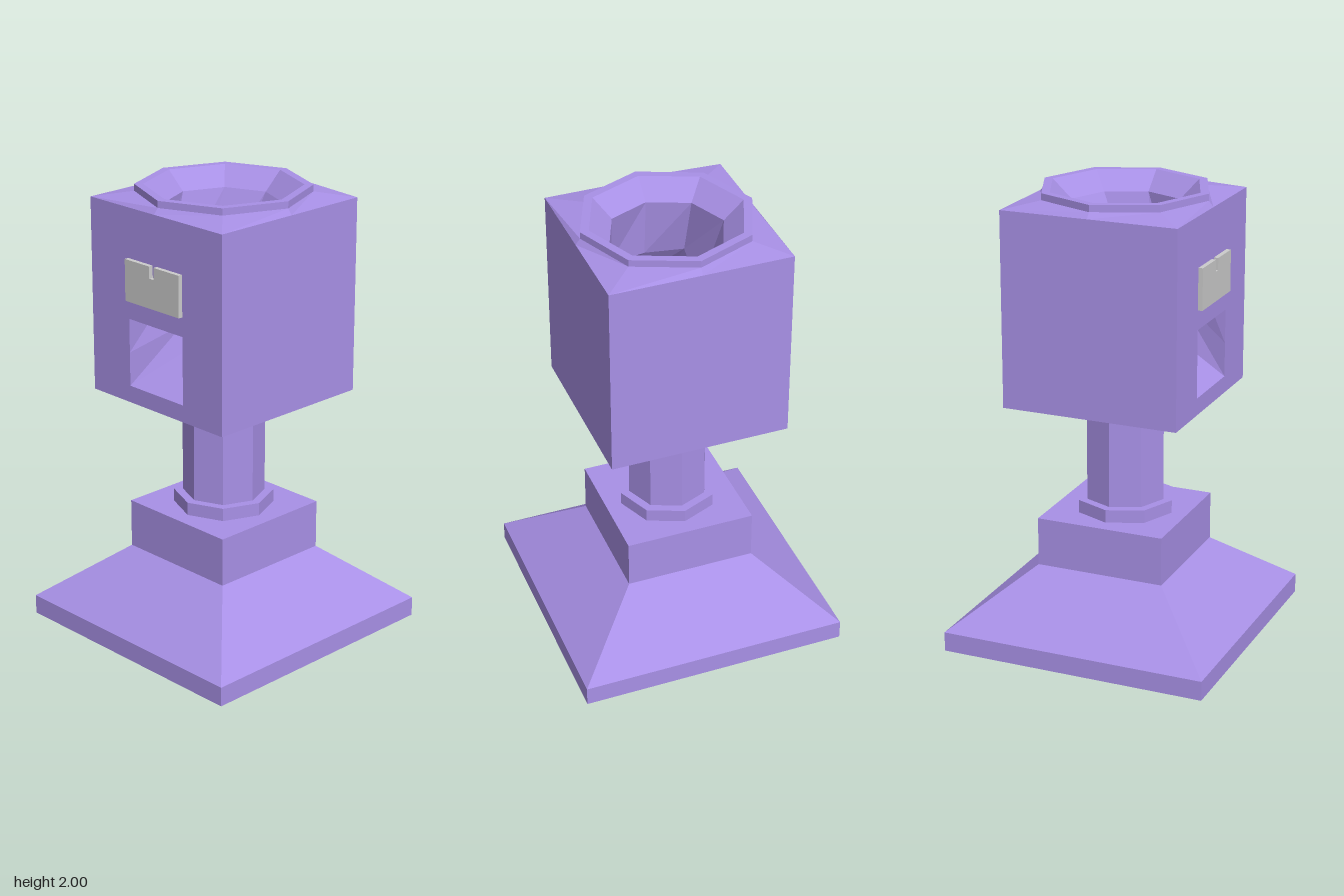
import * as THREE from 'three';

const purple = new THREE.MeshStandardMaterial({ color: 0xa890e6, flatShading: true });
const inside = new THREE.MeshStandardMaterial({ color: 0xa890e6, flatShading: true, side: THREE.DoubleSide });
const grey = new THREE.MeshStandardMaterial({ color: 0xcccccc, flatShading: true });

const HALF = 0.395, BOTTOM = 1.085, TOP = 1.945;      // head block
const OPEN = { x: 0.163, y0: 1.16, y1: 1.46 };        // outlet in the front

// Faceted solid of revolution from [radius, y] pairs, listed bottom to top
function turned(points, sides) {
  return new THREE.LatheGeometry(points.map(([r, y]) => new THREE.Vector2(r, y)), sides);
}

// Skin between rings of equal length; faces outward when rings go upward
function loft(rings) {
  const n = rings[0].length, index = [];
  for (let r = 0; r < rings.length - 1; r++) {
    for (let i = 0; i < n; i++) {
      const a = r * n + i, b = r * n + (i + 1) % n;
      index.push(a, b, b + n, a, b + n, a + n);
    }
  }
  const g = new THREE.BufferGeometry();
  g.setAttribute('position', new THREE.Float32BufferAttribute(rings.flat(2), 3));
  g.setIndex(index);
  g.computeVertexNormals();
  return g;
}

// Octagon with corners on the axes, starting at the front
function octagon(r, y) {
  return Array.from({ length: 8 }, (_, i) => {
    const a = i * Math.PI / 4;
    return [r * Math.sin(a), y, r * Math.cos(a)];
  });
}

// Eight-point ring from five points (front to back along +x), mirrored in x
function mirrored(half) {
  return [...half, ...half.slice(1, 4).reverse().map(([x, y, z]) => [-x, y, z])];
}

function rectanglePath(target, x0, y0, x1, y1) {
  target.moveTo(x0, y0).lineTo(x1, y0).lineTo(x1, y1).lineTo(x0, y1).closePath();
  return target;
}

export function createModel() {
  const model = new THREE.Group();
  const add = (name, geometry, material, parent = model) => {
    const mesh = new THREE.Mesh(geometry, material);
    mesh.name = name;
    parent.add(mesh);
    return mesh;
  };

  // Square stepped foot
  const q = Math.SQRT2;
  add('foot', turned([[0, 0], [0.6 * q, 0], [0.6 * q, 0.087], [0.29 * q, 0.34],
    [0.29 * q, 0.557], [0, 0.557]], 4).rotateY(Math.PI / 4), purple);

  // Octagonal column with a collar at each end
  add('column', turned([[0, 0.557], [0.22, 0.557], [0.22, 0.615], [0.18, 0.615],
    [0.18, 1.03], [0.22, 1.03], [0.22, BOTTOM]], 8), purple);

  // Head block: front wall with outlet, plain walls, underside and sloped top
  const head = new THREE.Group();
  head.name = 'head';
  model.add(head);
  const front = rectanglePath(new THREE.Shape(), -HALF, BOTTOM, HALF, TOP);
  front.holes.push(rectanglePath(new THREE.Path(), -OPEN.x, OPEN.y0, OPEN.x, OPEN.y1));
  add('frontWall', new THREE.ShapeGeometry(front).translate(0, 0, HALF), purple, head);
  for (const [i, name] of ['leftWall', 'backWall', 'rightWall'].entries()) {
    const wall = new THREE.PlaneGeometry(2 * HALF, TOP - BOTTOM)
      .translate(0, (TOP + BOTTOM) / 2, HALF).rotateY((i + 1) * Math.PI / 2);
    add(name, wall, purple, head);
  }
  add('underside', new THREE.PlaneGeometry(2 * HALF, 2 * HALF)
    .rotateX(Math.PI / 2).translate(0, BOTTOM, 0), purple, head);
  const square = mirrored([[0, TOP, HALF], [HALF, TOP, HALF], [HALF, TOP, 0],
    [HALF, TOP, -HALF], [0, TOP, -HALF]]);
  add('slopedTop', loft([square, octagon(0.375, 1.97)]), purple, head);

  // Octagonal rim and funnel
  add('funnelRim', turned([[0.375, 1.97], [0.375, 2], [0.337, 2], [0.25, 1.92]], 8), inside, head);

  // Chute bending from the funnel to the outlet
  const bend = mirrored([[0, 1.66, 0.27], [0.17, 1.66, 0.24], [0.2, 1.5, 0.15],
    [0.17, 1.36, 0.08], [0, 1.34, 0.115]]);
  const mid = (OPEN.y0 + OPEN.y1) / 2;
  const outlet = mirrored([[0, OPEN.y1, HALF], [OPEN.x, OPEN.y1, HALF], [OPEN.x, mid, HALF],
    [OPEN.x, OPEN.y0, HALF], [0, OPEN.y0, HALF]]);
  add('chute', loft([octagon(0.25, 1.92), bend, outlet]), inside, head);

  // Front plate with a slot cut into its top edge
  const plate = new THREE.Shape();
  plate.moveTo(-0.163, 1.545).lineTo(0.163, 1.545).lineTo(0.163, 1.727).lineTo(0.013, 1.727)
    .lineTo(0.013, 1.675).lineTo(-0.013, 1.675).lineTo(-0.013, 1.727).lineTo(-0.163, 1.727).closePath();
  add('slotPlate', new THREE.ExtrudeGeometry(plate, { depth: 0.025, bevelEnabled: false })
    .translate(0, 0, HALF - 0.005), grey);

  return model;
}
